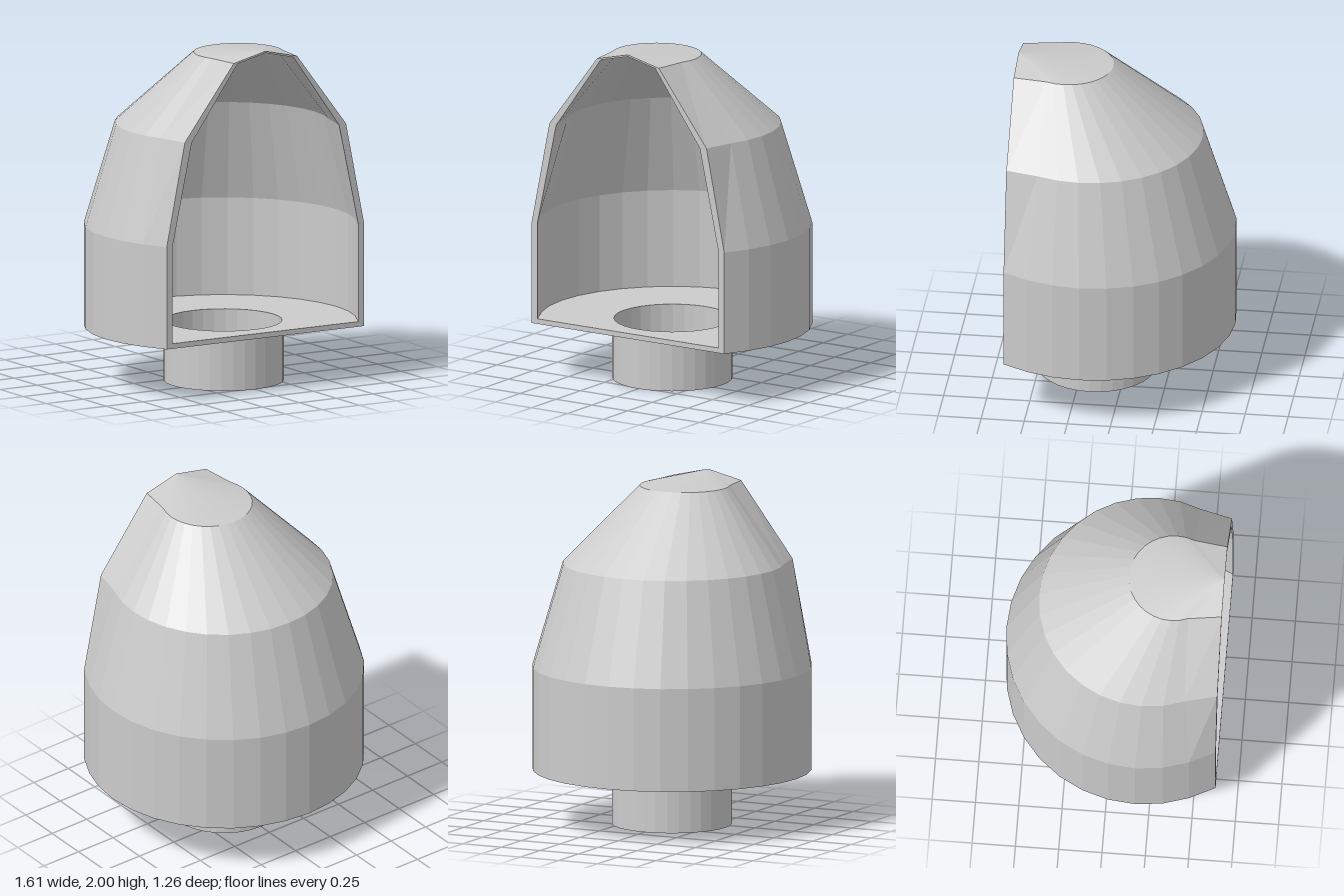
import * as THREE from 'three';

const STEP = Math.PI / 16; // 32-sided circles throughout
const HALF = 11; // segments from the back centre to each front edge
const FRONT = 0.63; // flat front plane
const CENTRE = 0.175;

const material = () => new THREE.MeshStandardMaterial({ color: 0xcccccc, flatShading: true });

// Open horseshoe ring: an arc round the back whose ends sit on the front plane
function ring([y, radius, centre, endX]) {
  const points = [];
  for (let i = -HALF; i <= HALF; i++) {
    if (Math.abs(i) === HALF) points.push([Math.sign(i) * endX, y, FRONT]);
    else points.push([radius * Math.sin(i * STEP), y, centre - radius * Math.cos(i * STEP)]);
  }
  return points;
}

function addQuad(out, a, b, c, d) {
  out.push(...a, ...b, ...c, ...a, ...c, ...d);
}

function addSkin(out, rings, inward) {
  for (let k = 0; k < rings.length - 1; k++) {
    for (let i = 0; i < 2 * HALF; i++) {
      const a = rings[k][i], b = rings[k][i + 1];
      const c = rings[k + 1][i + 1], d = rings[k + 1][i];
      if (inward) addQuad(out, a, b, c, d);
      else addQuad(out, b, a, d, c);
    }
  }
}

// Faceted hood: outer skin, inner skin and the rim between them, closed by a point at the front
function hoodGeometry() {
  // y, radius, centre z, x of the front end
  const outer = [
    [0.35, 0.805, CENTRE, 0.67],
    [0.92, 0.805, CENTRE, 0.67],
    [1.52, 0.64, 0.2, 0.547],
    [1.95, 0.26, 0.338, 0.215],
    [2.0, 0, FRONT, 0],
  ].map(ring);
  const inner = [
    [0.35, 0.767, CENTRE, 0.63],
    [0.92, 0.767, CENTRE, 0.63],
    [1.515, 0.6, 0.2, 0.5],
    [1.945, 0.225, 0.338, 0.19],
    [1.99, 0, FRONT, 0],
  ].map(ring);
  const out = [];
  addSkin(out, outer, false);
  addSkin(out, inner, true);
  const last = 2 * HALF;
  for (let k = 0; k < outer.length - 1; k++) {
    addQuad(out, inner[k][last], outer[k][last], outer[k + 1][last], inner[k + 1][last]);
    addQuad(out, outer[k][0], inner[k][0], inner[k + 1][0], outer[k + 1][0]);
  }
  const geometry = new THREE.BufferGeometry();
  geometry.setAttribute('position', new THREE.Float32BufferAttribute(out, 3));
  geometry.computeVertexNormals();
  return geometry;
}

// Floor plate with the socket hole
function floorGeometry() {
  const outline = ring([0, 0.805, CENTRE, 0.67]).map(([x, , z]) => new THREE.Vector2(x, z));
  const shape = new THREE.Shape(outline);
  const hole = [];
  for (let i = 0; i < 32; i++) {
    hole.push(new THREE.Vector2(0.337 * Math.sin(i * STEP), CENTRE + 0.337 * Math.cos(i * STEP)));
  }
  shape.holes.push(new THREE.Path(hole));
  const geometry = new THREE.ExtrudeGeometry(shape, { depth: 0.03, bevelEnabled: false });
  return geometry.rotateX(Math.PI / 2).translate(0, 0.35, 0);
}

// Hollow cup below the floor
function stemGeometry() {
  const profile = [
    [0, 0], [0.347, 0], [0.347, 0.33], [0.337, 0.33], [0.337, 0.02], [0, 0.02],
  ].map(([x, y]) => new THREE.Vector2(x, y));
  return new THREE.LatheGeometry(profile, 32).translate(0, 0, CENTRE);
}

export function createModel() {
  const group = new THREE.Group();
  const parts = { hood: hoodGeometry(), floorPlate: floorGeometry(), stemSocket: stemGeometry() };
  for (const [name, geometry] of Object.entries(parts)) {
    const mesh = new THREE.Mesh(geometry, material());
    mesh.name = name;
    group.add(mesh);
  }
  return group;
}
